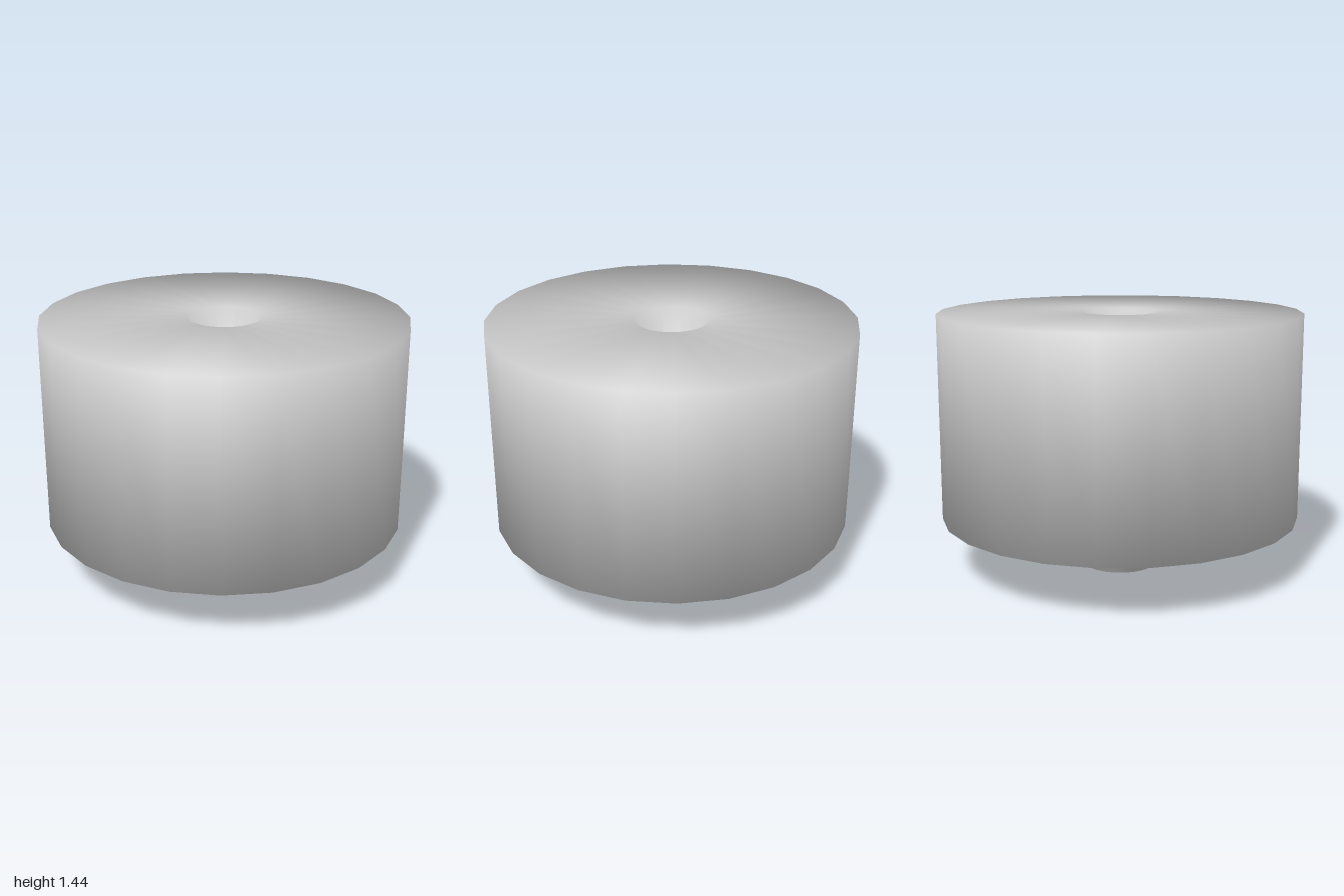
import * as THREE from 'three';

const SIDES = 24;
const BODY_RADIUS = 1, PEG_RADIUS = 0.2;
const BODY_BOTTOM = 0.3, BODY_TOP = 1.44, SOCKET_DEPTH = 0.3;

export function createModel() {
  const group = new THREE.Group();
  group.name = 'peggedDrum';

  // One continuous smooth-shaded skin: peg below, drum, matching socket in the top
  const profile = [
    [0, 0],
    [PEG_RADIUS, 0],
    [PEG_RADIUS, BODY_BOTTOM],
    [BODY_RADIUS, BODY_BOTTOM],
    [BODY_RADIUS, BODY_TOP],
    [PEG_RADIUS, BODY_TOP],
    [PEG_RADIUS, BODY_TOP - SOCKET_DEPTH],
    [0, BODY_TOP - SOCKET_DEPTH],
  ].map(([r, y]) => new THREE.Vector2(r, y));

  const drum = new THREE.Mesh(
    new THREE.LatheGeometry(profile, SIDES),
    new THREE.MeshStandardMaterial({ color: 0xcccccc })
  );
  drum.name = 'drumWithPegAndSocket';
  group.add(drum);
  return group;
}
